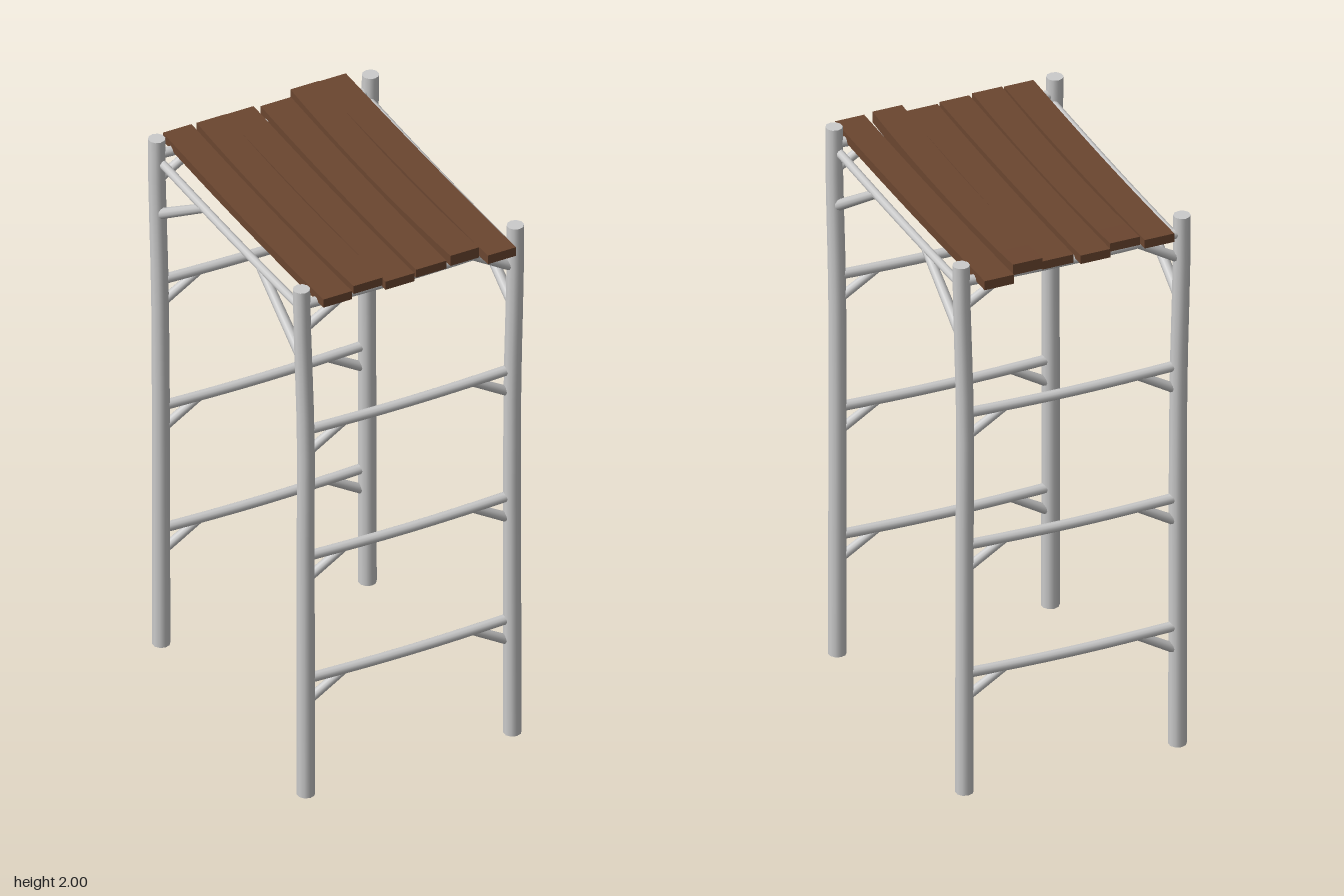
import * as THREE from 'three';

const metal = new THREE.MeshStandardMaterial({ color: 0xcccccc });
const wood = new THREE.MeshStandardMaterial({ color: 0x6b4630, flatShading: true });

// Round pole from a to b; bow(t) gives an [x, y, z] offset along its length
function pole(name, a, b, rStart, rEnd, bow, rings = 8) {
  const from = new THREE.Vector3(...a), to = new THREE.Vector3(...b);
  const dir = to.clone().sub(from), length = dir.length();
  const geo = new THREE.CylinderGeometry(rEnd, rStart, length, 10, bow ? rings : 1);
  const pos = geo.attributes.position;
  const ts = Array.from({ length: pos.count }, (_, i) => pos.getY(i) / length + 0.5);
  geo.applyQuaternion(new THREE.Quaternion().setFromUnitVectors(new THREE.Vector3(0, 1, 0), dir.normalize()));
  const mid = from.add(to).multiplyScalar(0.5);
  geo.translate(mid.x, mid.y, mid.z);
  if (bow) ts.forEach((t, i) => {
    const [x, y, z] = bow(t);
    pos.setXYZ(i, pos.getX(i) + x, pos.getY(i) + y, pos.getZ(i) + z);
  });
  const mesh = new THREE.Mesh(geo, metal);
  mesh.name = name;
  return mesh;
}

// Board along z whose ends curl upward and which may be skewed slightly
function plank(x, width, bottom, thick, back, front, curl, skew) {
  const length = front - back;
  const geo = new THREE.BoxGeometry(width, thick, length, 1, 1, 10);
  const pos = geo.attributes.position;
  for (let i = 0; i < pos.count; i++) {
    const u = pos.getZ(i) / (length / 2);
    pos.setX(i, pos.getX(i) + skew * u);
    pos.setY(i, pos.getY(i) + curl * (u * u - 1));
  }
  geo.computeVertexNormals();
  const mesh = new THREE.Mesh(geo, wood);
  mesh.position.set(x, bottom + thick / 2, (front + back) / 2);
  mesh.name = 'plank';
  return mesh;
}

export function createModel() {
  const model = new THREE.Group();
  const sag = depth => t => [0, -depth * Math.sin(Math.PI * t), 0];

  // Four legs, flaring outward near the top
  for (const sx of [-1, 1]) for (const sz of [-1, 1]) {
    const lean = t => [
      sx * 0.014 * THREE.MathUtils.smoothstep(t, 0.65, 1),
      0,
      sz * 0.004 * Math.sin(Math.PI * t * 2) * (t > 0.5 ? -1 : 0),
    ];
    const zBase = sz > 0 ? 0.508 : -0.498;
    model.add(pole('leg', [sx * 0.385, 0, zBase], [sx * 0.385, 2, sz * 0.503], 0.031, 0.029, lean, 12));
  }

  // Rungs with corner braces on the front and back
  for (const z of [-0.503, 0.503]) for (const y of [0.45, 0.935, 1.435, 1.935]) {
    const ladder = new THREE.Group();
    ladder.name = 'rungAssembly';
    ladder.add(pole('rung', [-0.38, y, z], [0.38, y, z], 0.018, 0.018, sag(0.008)));
    for (const sx of [-1, 1])
      ladder.add(pole('rungBrace', [sx * 0.38, y - 0.09, z], [sx * 0.235, y - 0.004, z], 0.017, 0.015));
    model.add(ladder);
  }

  // Side rails with long diagonal braces
  for (const sx of [-1, 1]) {
    const x = sx * 0.387;
    model.add(pole('sideRail', [x, 1.907, -0.5], [x, 1.907, 0.5], 0.015, 0.015, sag(0.006)));
    for (const sz of [-1, 1])
      model.add(pole('sideBrace', [x, 1.7, sz * 0.5], [x, 1.9, sz * 0.2], 0.019, 0.016));
  }

  // Deck: x, width, bottom of ends, thickness, back z, front z, curl, skew
  const deck = new THREE.Group();
  deck.name = 'deck';
  [
    [-0.292, 0.107, 1.94, 0.032, -0.56, 0.556, 0.01, 0],
    [-0.173, 0.107, 1.95, 0.031, -0.547, 0.545, 0.018, 0],
    [-0.06, 0.107, 1.937, 0.032, -0.561, 0.556, 0.008, 0],
    [0.066, 0.113, 1.94, 0.031, -0.547, 0.544, 0.01, -0.003],
    [0.184, 0.107, 1.952, 0.04, -0.56, 0.553, 0.022, 0],
    [0.303, 0.105, 1.936, 0.034, -0.586, 0.581, 0.008, 0.004],
  ].forEach(spec => deck.add(plank(...spec)));
  model.add(deck);

  return model;
}
